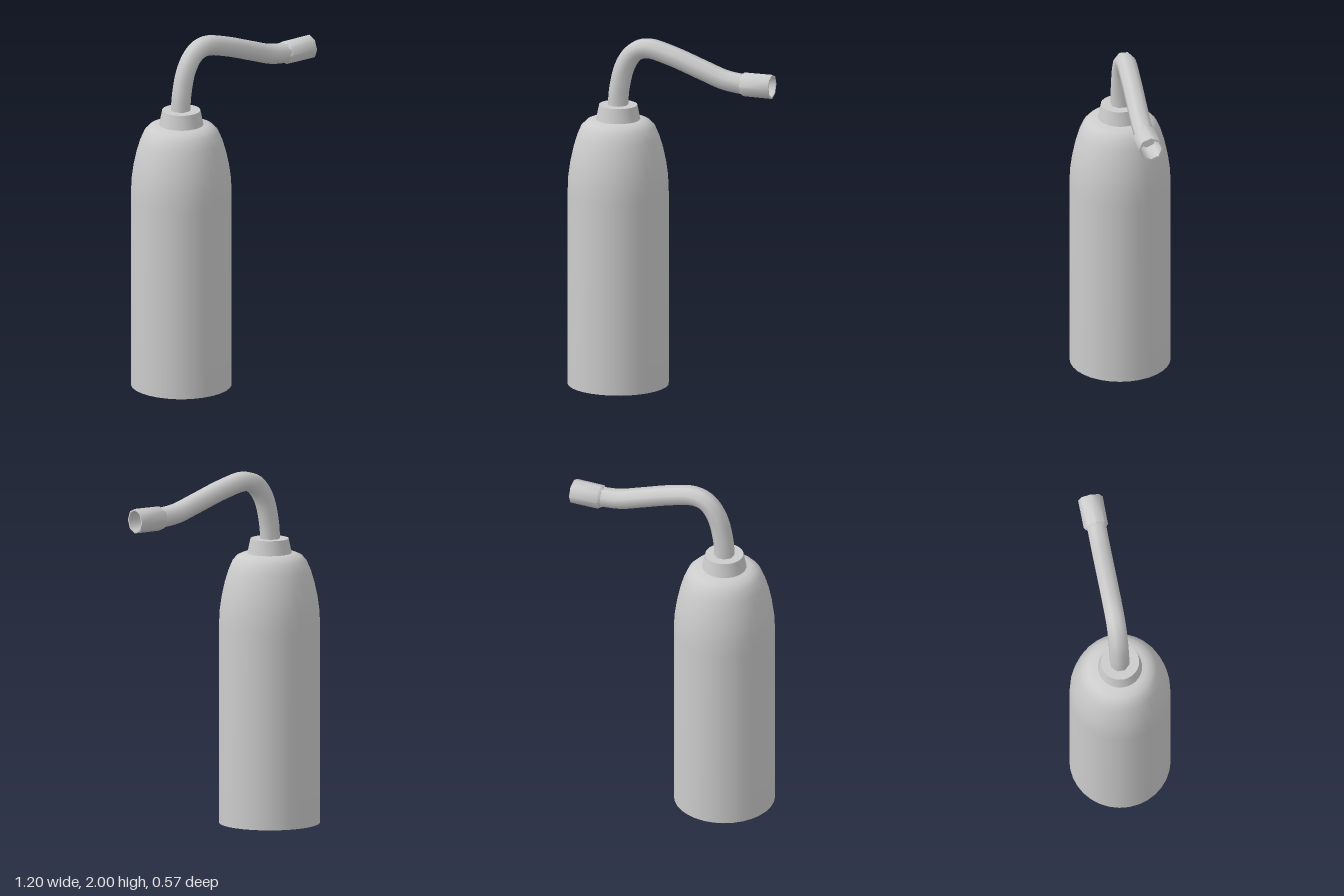
import * as THREE from 'three';
import { toCreasedNormals } from 'three/addons/utils/BufferGeometryUtils.js';
import { ParametricGeometry } from 'three/addons/geometries/ParametricGeometry.js';

const AXIS_X = -0.317;
const material = new THREE.MeshStandardMaterial({ color: 0xcccccc, side: THREE.DoubleSide });

// Turned part from [radius, height] pairs, listed from bottom to top.
function turned(name, profile, sides) {
  const points = profile.map(([r, y]) => new THREE.Vector2(r, y));
  const geometry = toCreasedNormals(new THREE.LatheGeometry(points, sides), 0.9);
  const mesh = new THREE.Mesh(geometry, material);
  mesh.name = name;
  return mesh;
}

// Eight-sided pipe swept along a curve that lies close to the x-y plane.
function sweptPipe(name, path, radius, steps) {
  const sides = 8;
  const surface = (u, v, target) => {
    const t = path.getTangent(v);
    const normal = new THREE.Vector3(-t.y, t.x, 0).normalize();
    const side = new THREE.Vector3().crossVectors(t, normal);
    const angle = (u + 0.5 / sides) * Math.PI * 2;
    target.copy(path.getPoint(v))
      .addScaledVector(normal, radius * Math.cos(angle))
      .addScaledVector(side, radius * Math.sin(angle));
  };
  const mesh = new THREE.Mesh(new ParametricGeometry(surface, sides, steps), material);
  mesh.name = name;
  return mesh;
}

export function createModel() {
  const model = new THREE.Group();
  model.name = 'dispenserBottle';

  // Bottle with a flat base and a rounded shoulder
  const bottle = turned('bottle', [
    [0, 0], [0.283, 0], [0.283, 1.1], [0.279, 1.2], [0.268, 1.28], [0.251, 1.36],
    [0.23, 1.43], [0.207, 1.484], [0.18, 1.512], [0.147, 1.526], [0, 1.526],
  ], 32);
  bottle.position.x = AXIS_X;
  model.add(bottle);

  // Tapered collar on the shoulder
  const collar = turned('collar', [[0.124, 1.524], [0.107, 1.608], [0, 1.608]], 32);
  collar.position.x = AXIS_X;
  model.add(collar);

  // Bent spout pipe
  const path = new THREE.CatmullRomCurve3([
    [-0.32, 1.58, -0.003], [-0.311, 1.7, -0.003], [-0.275, 1.84, -0.003],
    [-0.215, 1.922, -0.002], [-0.14, 1.947, -0.002], [0, 1.917, 0],
    [0.2, 1.848, 0.003], [0.32, 1.808, 0.005], [0.46, 1.79, 0.007],
  ].map((p) => new THREE.Vector3(...p)));
  model.add(sweptPipe('spoutPipe', path, 0.057, 40));

  // Hollow faceted nozzle, its axis turned to point along +x
  const nozzle = turned('nozzle', [
    [0.057, 0], [0.069, 0.015], [0.07, 0.18], [0.06, 0.18], [0.056, 0.045], [0, 0.045],
  ], 8);
  nozzle.rotation.z = -Math.PI / 2;
  nozzle.position.set(0.42, 1.792, 0.003);
  model.add(nozzle);

  return model;
}
